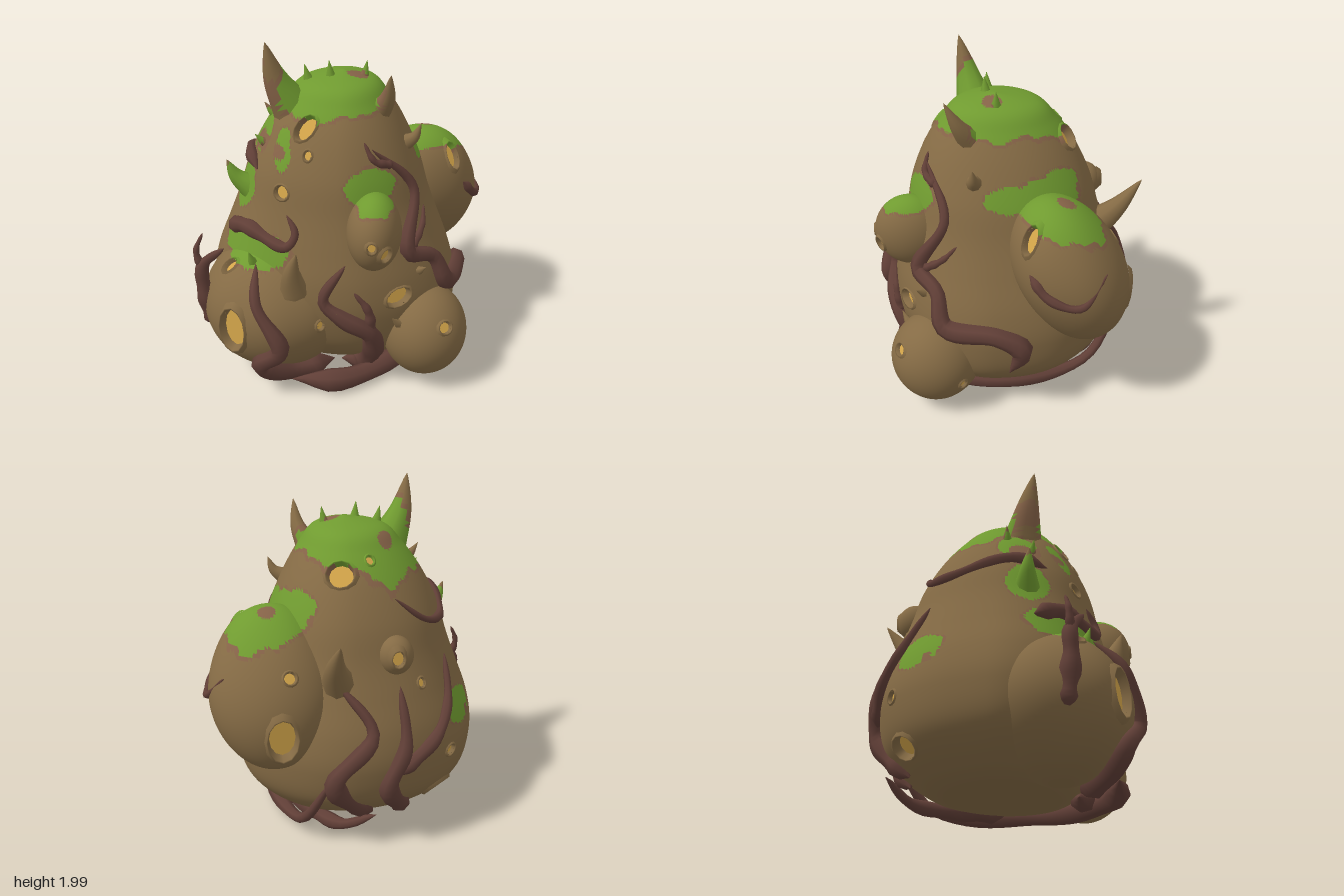
import * as THREE from 'three';
import { mergeVertices } from 'three/addons/utils/BufferGeometryUtils.js';

const V = (x, y, z) => new THREE.Vector3(x, y, z);
const mat = (name, color) => Object.assign(new THREE.MeshStandardMaterial({ color }), { name });

export function createModel() {
  const root = new THREE.Group();
  const skin = [mat('bark', 0x856b45), mat('moss', 0x709b30), mat('scuffed bark', 0x866348)];
  const vineMat = mat('vine', 0x613f37), amber = mat('amber', 0xd3a54a);
  const holes = [], solids = [];

  // Moss grows inside these ellipsoids: x, y, z, then the three radii
  const patches = [
    [-0.1, 1.75, -0.08, 0.38, 0.36, 0.47], [0.52, 1.34, -0.42, 0.27, 0.19, 0.27],
    [0.46, 1.33, -0.05, 0.12, 0.07, 0.14], [0.21, 1.27, 0.55, 0.17, 0.11, 0.22],
    [-0.5, 0.87, 0.4, 0.29, 0.1, 0.32], [-0.58, 1.17, 0.2, 0.13, 0.13, 0.13],
    [-0.31, 1.47, 0.36, 0.05, 0.15, 0.12], [-0.45, 1.49, 0.13, 0.1, 0.13, 0.13],
    [-0.66, 0.75, -0.4, 0.15, 0.11, 0.17],
  ];
  const noise = (p, f) => (Math.sin(p.x * f + 2 * Math.sin(p.z * f * 0.6)) + Math.sin(p.y * f * 1.2 + 1.7)
    + Math.sin(p.z * f * 0.9 + 2 * Math.cos(p.x * f * 0.7))) / 3;

  function mossIndex(p) {
    let d = 9;
    for (const [x, y, z, a, b, c] of patches) d = Math.min(d, Math.hypot((p.x - x) / a, (p.y - y) / b, (p.z - z) / c));
    d += 0.16 * noise(p, 17) + 0.1 * noise(p, 43);
    if (d < 1) return noise(p, 15) > 0.68 ? 2 : 1;
    return d < 1.08 ? 2 : 0;
  }

  // Sort triangles into bark, moss and scuffed groups, leaving the hollows open
  function paint(geo, cut) {
    const pos = geo.attributes.position, idx = geo.index.array, lists = [[], [], []], a = V(), c = V();
    for (let i = 0; i < idx.length; i += 3) {
      c.set(0, 0, 0);
      for (let k = 0; k < 3; k++) c.add(a.fromBufferAttribute(pos, idx[i + k]));
      c.divideScalar(3);
      if (cut && holes.some(h => {
        a.copy(c).applyMatrix4(h.inverse);
        return Math.abs(a.z) < 0.07 && Math.hypot(a.x / h.w, a.y / h.h) < 1.03;
      })) continue;
      lists[mossIndex(c)].push(idx[i], idx[i + 1], idx[i + 2]);
    }
    geo.setIndex(lists.flat());
    geo.clearGroups();
    let start = 0;
    lists.forEach((l, k) => { if (l.length) geo.addGroup(start, l.length, k); start += l.length; });
    return geo;
  }
  function add(name, geo, material) {
    const m = new THREE.Mesh(geo, material);
    m.name = name;
    root.add(m);
    return m;
  }
  function smooth(geo) {
    geo.deleteAttribute('uv');
    geo.deleteAttribute('normal');
    const g = mergeVertices(geo, 1e-5);
    g.computeVertexNormals();
    return g;
  }
  // Solids start as one bark group, so that rays can find them before painting
  function addSolid(name, geo, rule) {
    const p = geo.attributes.position, q = V();
    for (let i = 0; i < p.count; i++) {
      rule(q.fromBufferAttribute(p, i));
      p.setXYZ(i, q.x, q.y, q.z);
    }
    const g = smooth(geo);
    g.addGroup(0, g.index.count, 0);
    solids.push(add(name, g, skin));
  }

  // Mound: a turned profile, reaching less far to +x and to the front near the ground
  const profile = new THREE.SplineCurve([[0, 0.06], [0.4, 0.07], [0.6, 0.15], [0.76, 0.3], [0.8, 0.5], [0.77, 0.7], [0.7, 0.9],
    [0.62, 1.1], [0.55, 1.3], [0.45, 1.5], [0.34, 1.65], [0.23, 1.75], [0, 1.8]].map(q => new THREE.Vector2(...q)));
  addSolid('mound', new THREE.LatheGeometry(profile.getPoints(124), 210), q => {
    const k = 1 + 0.018 * noise(q, 8);
    q.x *= k * (q.x > 0 ? 0.9 - 0.07 * q.y : 1);
    q.z *= k * (q.z > 0 ? 0.7 + 0.15 * q.y : 0.91 + 0.08 * q.y);
  });

  // Swellings: egg shapes, optionally leaning along z
  function lobe(name, c, r, lean = 0, seg = 72) {
    addSolid(name, new THREE.SphereGeometry(1, seg, Math.round(seg * 0.7)), q => {
      q.multiply(V(...r));
      q.z += lean * q.y;
      q.multiplyScalar(1 + 0.035 * noise(q, 9)).add(V(...c));
    });
  }
  lobe('backLobe', [0.46, 0.92, -0.42], [0.36, 0.44, 0.33], 0.28, 84);
  lobe('frontLobe', [-0.37, 0.46, 0.3], [0.45, 0.41, 0.42], -0.05, 84);
  lobe('frontBulb', [0.51, 0.33, 0.36], [0.25, 0.28, 0.27]);
  lobe('hangingBulb', [0.21, 1.03, 0.5], [0.15, 0.22, 0.21]);
  lobe('rearWart', [-0.22, 1.13, -0.55], [0.1, 0.11, 0.1], 0, 48);
  root.updateMatrixWorld(true);

  // Find a surface point: F front, B back, R from +x, L from -x, T top, A by azimuth in degrees.
  // A ray that just misses the edge moves inwards a few times.
  const caster = new THREE.Raycaster();
  function surf(view, u, v, tries = 12) {
    const a = u * Math.PI / 180;
    const [o, d] = {
      F: [V(u, v, 3), V(0, 0, -1)], B: [V(u, v, -3), V(0, 0, 1)], R: [V(3, v, u), V(-1, 0, 0)], L: [V(-3, v, u), V(1, 0, 0)],
      T: [V(u, 3, v), V(0, -1, 0)], A: [V(3 * Math.sin(a), v, 3 * Math.cos(a)), V(-Math.sin(a), 0, -Math.cos(a))],
    }[view];
    caster.set(o, d);
    const h = caster.intersectObjects(solids, false)[0];
    if (h) return { p: h.point, n: h.face.normal.clone() };
    if (!tries) throw new Error(`no surface at ${view} ${u} ${v}`);
    return surf(view, u * 0.95, view === 'T' ? v * 0.95 : v + (0.8 - v) * 0.03, tries - 1);
  }

  // Tapered tube along a curve
  function taper(pts, radius, sides, segs) {
    const curve = new THREE.CatmullRomCurve3(pts), g = new THREE.TubeGeometry(curve, segs, 1, sides), p = g.attributes.position;
    for (let i = 0; i <= segs; i++) {
      const c = curve.getPointAt(i / segs), r = radius(i / segs);
      for (let j = 0; j <= sides; j++) {
        const k = i * (sides + 1) + j, q = V().fromBufferAttribute(p, k).sub(c).multiplyScalar(r).add(c);
        p.setXYZ(k, q.x, q.y, q.z);
      }
    }
    return smooth(g);
  }

  // Hollows: a rim with a sunken amber core; half width, half height, tilt
  function hollow(view, u, v, w, h, tilt = 0) {
    const { p, n } = surf(view, u, v), r = (w + h) / 2, depth = Math.min(0.045, r * 0.6);
    const x = V(0, 1, 0).cross(n).normalize(), y = n.clone().cross(x);
    const m = new THREE.Matrix4().makeBasis(x, y, n).setPosition(p).multiply(new THREE.Matrix4().makeRotationZ(tilt));
    holes.push({ w, h, inverse: m.clone().invert() });
    const lip = new THREE.LatheGeometry([[r + 0.03, -0.025], [r + 0.008, 0.006], [r, 0.004], [r * 0.84, -depth]]
      .map(q => new THREE.Vector2(...q)), 12).rotateX(Math.PI / 2).scale(w / r, h / r, 1).applyMatrix4(m);
    add('hollowRim', paint(lip, false), skin);
    add('hollowCore', new THREE.CircleGeometry(r * 0.88, 12).scale(w / r, h / r, 1).translate(0, 0, 0.004 - depth).applyMatrix4(m), amber);
  }
  hollow('F', -0.58, 0.45, 0.085, 0.135);
  hollow('F', -0.62, 0.75, 0.04, 0.055, -0.5);
  hollow('F', -0.31, 1.21, 0.045, 0.042);
  hollow('F', -0.18, 1.56, 0.055, 0.08, -0.5);
  hollow('F', 0.285, 0.975, 0.035, 0.042);
  hollow('F', 0.36, 0.63, 0.08, 0.055, 0.2);
  hollow('F', 0.63, 0.46, 0.04, 0.035);
  hollow('R', -0.18, 1.22, 0.045, 0.085);
  hollow('B', 0.42, 0.74, 0.085, 0.13);
  hollow('B', 0.37, 1.07, 0.035, 0.035);
  hollow('T', 0.07, -0.41, 0.08, 0.075);
  hollow('B', -0.22, 1.14, 0.035, 0.045);
  hollow('B', -0.56, 0.52, 0.04, 0.035);
  hollow('B', -0.5, 0.25, 0.1, 0.07);
  // Pinholes
  for (const [view, u, v] of [['F', -0.16, 1.43], ['F', 0.21, 1.03], ['F', -0.08, 0.475], ['R', 0.2, 0.26], ['T', -0.1, -0.36],
    ['B', -0.37, 0.96]]) hollow(view, u, v, 0.024, 0.028);

  // Large horns
  function horn(base, tip, r) {
    const B = V(...base), T = V(...tip), mid = B.clone().lerp(T, 0.5).add(V(0.02 * Math.sign(T.x), -0.015, 0));
    add('horn', paint(taper([B, mid, T], s => r * Math.pow(1 - s, 0.85) + 0.001, 9, 14), false), skin);
  }
  horn([-0.28, 1.6, 0.12], [-0.41, 2, 0.22], 0.12);
  horn([0.2, 1.58, 0.13], [0.28, 1.85, 0.28], 0.075);
  horn([0.1, 0.98, -0.58], [0.12, 1.3, -0.85], 0.1);
  horn([0.34, 1.4, 0.12], [0.45, 1.53, 0.13], 0.055);
  horn([-0.52, 1.12, 0.18], [-0.66, 1.31, 0.22], 0.08);
  horn([-0.23, 0.68, 0.58], [-0.2, 0.96, 0.68], 0.085);

  // Small thorns
  for (const [view, u, v] of [['F', 0.02, 0.57], ['F', 0.36, 0.46], ['F', 0.47, 0.75], ['T', -0.07, 0.06], ['T', 0.12, 0],
    ['T', -0.2, 0.05], ['L', 0.05, 1.55], ['L', 0.2, 1.42], ['F', -0.48, 0.8]]) {
    const { p, n } = surf(view, u, v), tip = p.clone().addScaledVector(n, 0.056).add(V(0, 0.028, 0));
    add('thorn', paint(taper([p.clone().addScaledVector(n, -0.03), p, tip], s => 0.036 * (1 - s) + 0.001, 6, 6), false), skin);
  }

  // Vines hug the surface seen from a view, or run freely through X points, from root to tip
  function vine(view, r, ...pts) {
    const path = pts.map(q => {
      if (view === 'X') return V(...q);
      const { p, n } = surf(view, ...q);
      return p.addScaledVector(n, r * 0.25);
    });
    const radius = s => r * Math.min(1, 0.01 + s * 9) * Math.pow(1 - s, 0.55) * (0.92 + 0.1 * Math.sin(s * 23)) + 0.001;
    add('vine', taper(path, radius, 7, pts.length * 6), vineMat);
  }
  // right side, with two twigs
  vine('R', 0.075, [-0.07, 0.33], [-0.14, 0.5], [0, 0.6], [0.29, 0.62], [0.33, 0.8], [0.44, 0.88], [0.28, 1.2], [0.38, 1.46]);
  vine('R', 0.03, [0.42, 0.88], [0.3, 0.98], [0.22, 1.07]);
  vine('F', 0.03, [0.3, 1.36], [0.2, 1.4], [0.14, 1.5]);
  // front pair, each forked
  vine('F', 0.085, [0.02, 0.1], [0.15, 0.12], [0.2, 0.42], [0.04, 0.55], [-0.06, 0.65], [0.06, 0.86]);
  vine('F', 0.04, [0.2, 0.42], [0.19, 0.58], [0.11, 0.7]);
  vine('F', 0.085, [-0.02, 0.11], [-0.3, 0.14], [-0.42, 0.24], [-0.3, 0.37], [-0.43, 0.62], [-0.45, 0.79]);
  // left side, arching clear of the mound, and the shelf above it
  vine('X', 0.07, [-0.74, 0.3, 0.4], [-0.79, 0.58, 0.44], [-0.79, 0.72, 0.44], [-0.64, 0.88, 0.5]);
  vine('X', 0.03, [-0.78, 0.68, 0.44], [-0.82, 0.82, 0.44], [-0.78, 0.93, 0.42]);
  vine('F', 0.06, [-0.64, 0.9], [-0.52, 0.96], [-0.27, 0.92], [-0.22, 1], [-0.27, 1.1]);
  vine('A', 0.045, [-58, 1.28], [-78, 1.33], [-116, 1.25], [-135, 1.28], [-154, 1.42]);
  // back
  vine('B', 0.08, [-0.1, 0.16], [0.14, 0.46], [-0.07, 0.74], [0.11, 1.01]);
  vine('B', 0.075, [-0.3, 0.16], [-0.16, 0.42], [-0.25, 0.65], [-0.23, 0.97]);
  vine('B', 0.055, [-0.2, 0.48], [-0.45, 0.66], [-0.53, 0.82], [-0.53, 1.05]);
  vine('R', 0.035, [-0.18, 1.05], [-0.28, 0.94], [-0.45, 0.9], [-0.59, 1.05]);
  // roots under the mound
  vine('X', 0.08, [-0.25, 0.09, 0.62], [0.08, 0.075, 0.56], [0.46, 0.08, 0.1], [0.32, 0.12, -0.55], [0.15, 0.5, -0.78]);
  vine('X', 0.075, [0.42, 0.1, -0.1], [0.1, 0.1, -0.6], [-0.1, 0.22, -0.72]);

  for (const m of solids) paint(m.geometry, true);
  return root;
}
